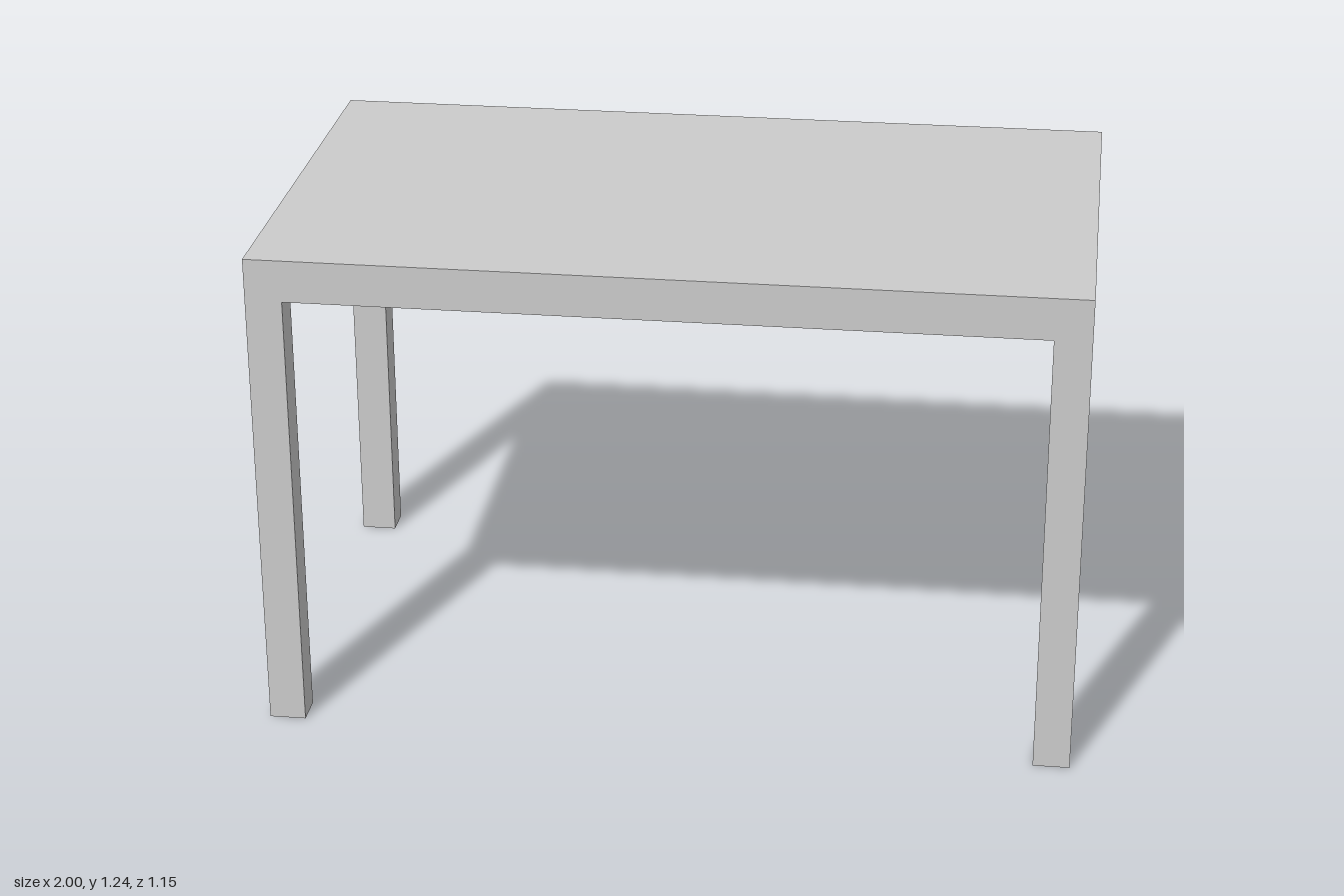
import * as THREE from 'three';

const W = 2, D = 1.154, H = 1.237;      // overall size
const LX = 0.09, LZ = 0.08;             // leg section
const APRON = 0.105, PANEL = 0.028;     // apron height, top panel thickness

export function createModel() {
  const group = new THREE.Group();
  group.name = 'table';
  const material = new THREE.MeshStandardMaterial({ color: 0xcccccc, flatShading: true });

  const box = (name, w, h, d, x, y, z) => {
    const mesh = new THREE.Mesh(new THREE.BoxGeometry(w, h, d), material);
    mesh.name = name;
    mesh.position.set(x, y, z);
    group.add(mesh);
  };

  // legs run full height at the corners
  for (const sx of [-1, 1]) {
    for (const sz of [-1, 1]) {
      const name = (sz > 0 ? 'front' : 'back') + (sx > 0 ? 'Left' : 'Right') + 'Leg';
      box(name, LX, H, LZ, sx * (W - LX) / 2, H / 2, sz * (D - LZ) / 2);
    }
  }

  // aprons join the legs, flush with their faces
  const innerW = W - 2 * LX, innerD = D - 2 * LZ, apronY = H - APRON / 2;
  for (const s of [-1, 1]) {
    box(s > 0 ? 'frontApron' : 'backApron', innerW, APRON, LZ, 0, apronY, s * (D - LZ) / 2);
    box(s > 0 ? 'leftApron' : 'rightApron', LX, APRON, innerD, s * (W - LX) / 2, apronY, 0);
  }

  // thin top panel set inside the frame
  box('topPanel', innerW, PANEL, innerD, 0, H - PANEL / 2, 0);

  return group;
}
